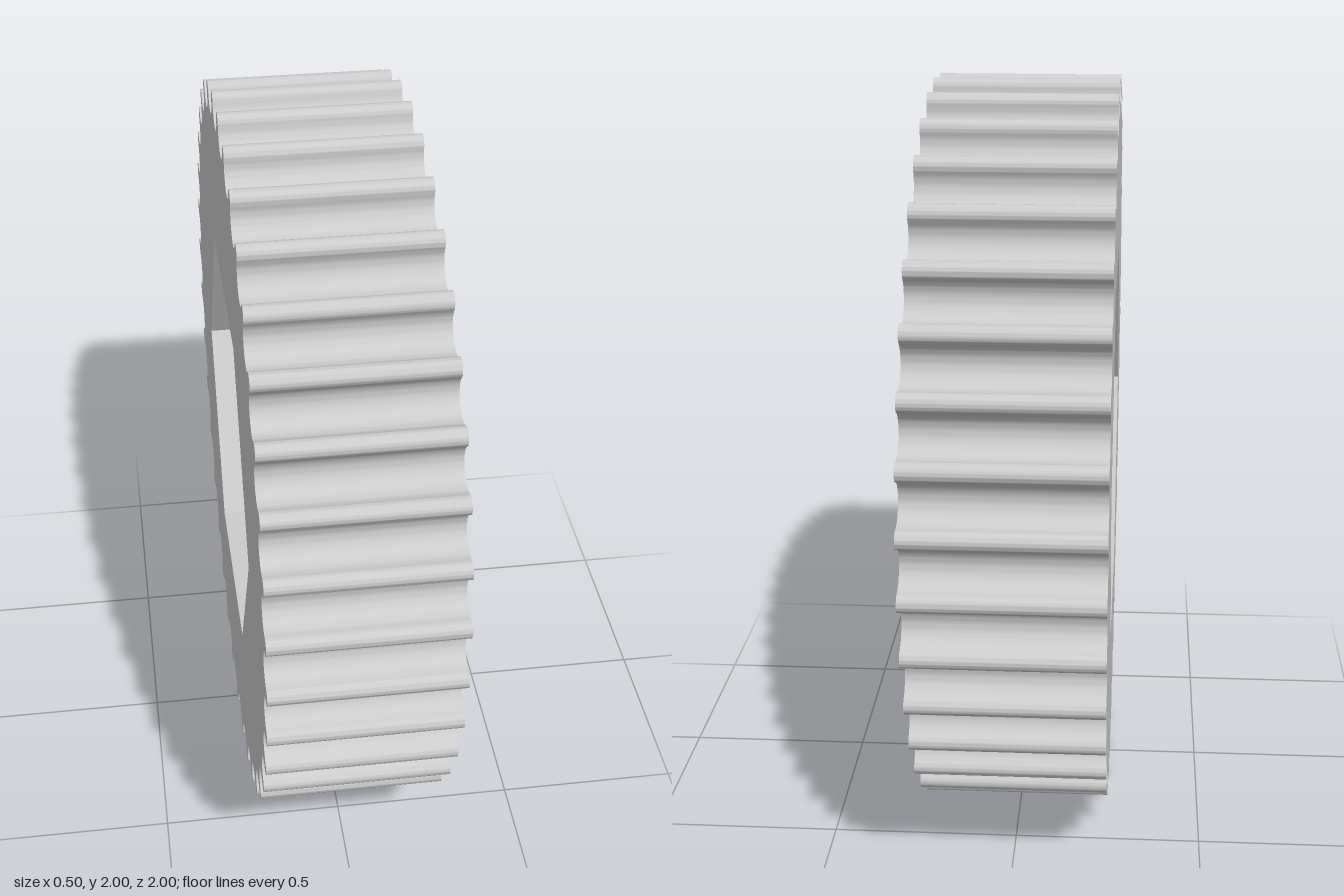
import * as THREE from 'three';
import { toCreasedNormals } from 'three/addons/utils/BufferGeometryUtils.js';

const TEETH = 38;
const WIDTH = 0.496;
const TIP_R = 0.0245;              // rounding of each tooth tip
const TIP_CENTRE = 1 - TIP_R;      // distance of tip arc centres from the axis
const GROOVE_CENTRE = 0.978;       // distance of groove arc centres from the axis
const HEX_R = 0.566;               // corner radius of the hexagonal bore

const polar = (r, a) => new THREE.Vector2(r * Math.cos(a), r * Math.sin(a));
const heading = (from, to) => Math.atan2(to.y - from.y, to.x - from.x);

// Outline of alternating tangent arcs: convex tips, concave grooves
function toothedOutline() {
  const shape = new THREE.Shape();
  const step = (Math.PI * 2) / TEETH;
  const start = Math.PI / 2 - 0.0173;
  for (let i = 0; i < TEETH; i++) {
    const a = start + i * step;
    const tip = polar(TIP_CENTRE, a);
    const nextTip = polar(TIP_CENTRE, a + step);
    const before = polar(GROOVE_CENTRE, a - step / 2);
    const after = polar(GROOVE_CENTRE, a + step / 2);
    const grooveR = tip.distanceTo(after) - TIP_R;
    shape.absarc(tip.x, tip.y, TIP_R, heading(tip, before), heading(tip, after), false);
    shape.absarc(after.x, after.y, grooveR, heading(after, tip), heading(after, nextTip), true);
  }
  shape.closePath();
  return shape;
}

export function createModel() {
  const group = new THREE.Group();
  group.name = 'toothedPulley';

  // Toothed wheel with hexagonal bore
  const shape = toothedOutline();
  const corners = Array.from({ length: 6 }, (_, i) => polar(HEX_R, (-i * Math.PI) / 3));
  shape.holes.push(new THREE.Path(corners).closePath());

  const solid = new THREE.ExtrudeGeometry(shape, { depth: WIDTH, bevelEnabled: false, curveSegments: 12 });
  solid.translate(0, 0, -WIDTH / 2);
  solid.rotateY(Math.PI / 2);      // lay the axle along x
  solid.translate(0, 1, 0);

  const wheel = new THREE.Mesh(
    toCreasedNormals(solid, 0.7),
    new THREE.MeshStandardMaterial({ color: 0xcccccc })
  );
  wheel.name = 'toothedWheel';
  group.add(wheel);
  return group;
}
